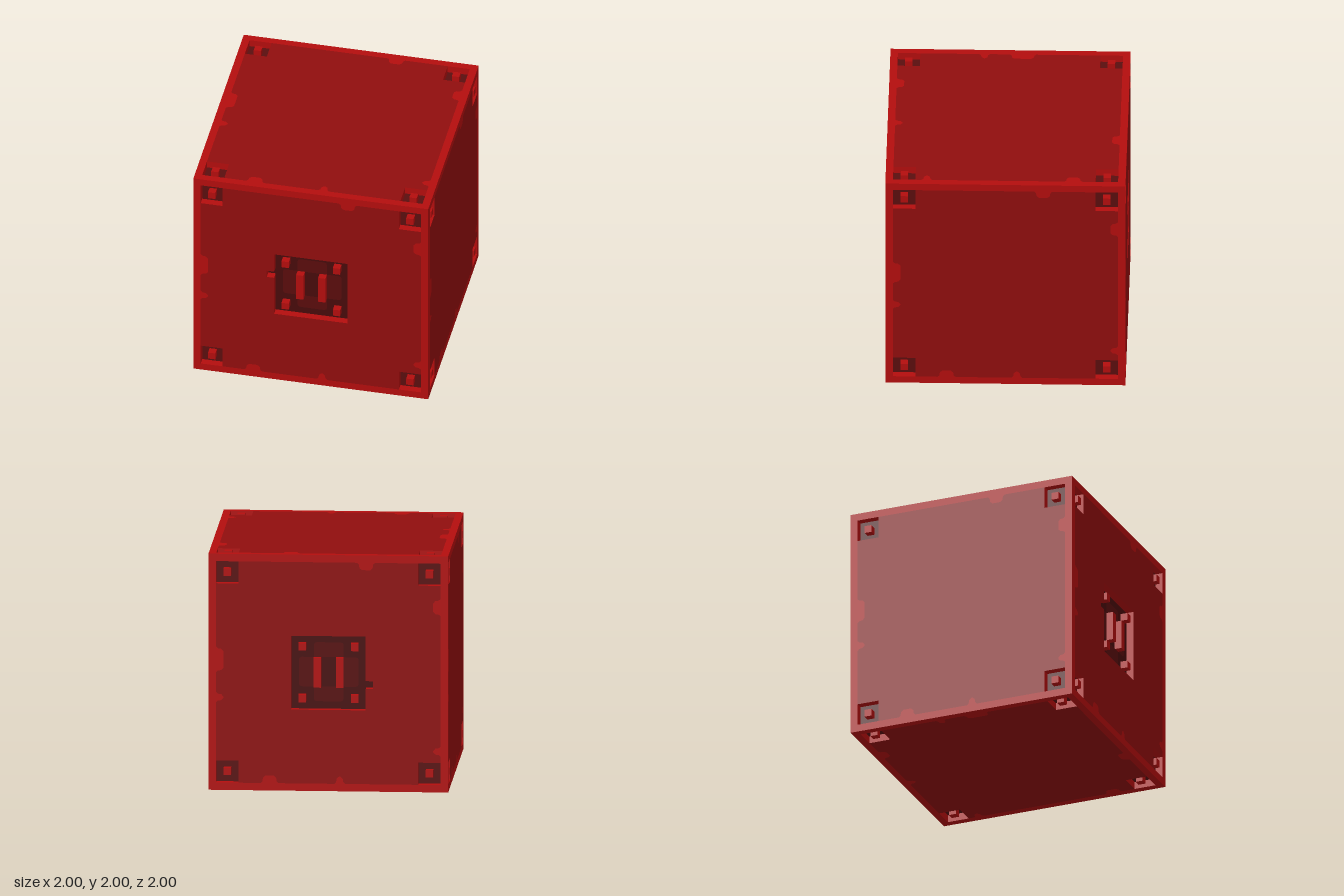
import * as THREE from 'three';

const U = 0.0625;      // basic cell: border width, bolt size, recess depth
const E = 1 - U;       // inner edge of the border
const C = 0.75;        // inner edge of the corner pockets
const P = 0.3125;      // half size of the centre panel

const mat = (name, color, side = THREE.FrontSide) =>
  Object.assign(new THREE.MeshStandardMaterial({ color, side }), { name });

// worn chips on each side of the border (bottom, right, top, left): [centre, half width]
const chips = [
  [[-0.49, 0.075], [0.095, 0.045]],
  [[-0.655, 0.045], [0.565, 0.075]],
  [[-0.315, 0.075]],
  [[-0.105, 0.11], [0.215, 0.045]],
];
const chipProfile = [[0, 0], [0.015, 0.015], [0.02, 0.045], [0.04, U]];

const turn = ([x, y], k) => {
  for (let i = 0; i < k; i++) [x, y] = [-y, x];
  return new THREE.Vector2(x, y);
};

// inner edge of the border, optionally stepping around the corner pockets
function outline(stepped) {
  const pts = [];
  chips.forEach((side, k) => {
    const run = stepped ? [[-C, -C], [-C, -E]] : [[-E, -E]];
    for (const [c, hw] of side) {
      for (const [s, h] of chipProfile) run.push([c - hw + s, -E + h]);
      for (const [s, h] of [...chipProfile].reverse()) run.push([c + hw - s, -E + h]);
    }
    if (stepped) run.push([C, -E]);
    run.forEach((p) => pts.push(turn(p, k)));
  });
  return pts;
}

// inward-facing walls around a counter-clockwise loop, from z = 0 down to -U
function wallGeometry(loop) {
  const pos = [];
  loop.forEach((a, i) => {
    const b = loop[(i + 1) % loop.length];
    pos.push(a.x, a.y, 0, b.x, b.y, 0, b.x, b.y, -U);
    pos.push(a.x, a.y, 0, b.x, b.y, -U, a.x, a.y, -U);
  });
  const g = new THREE.BufferGeometry();
  g.setAttribute('position', new THREE.Float32BufferAttribute(pos, 3));
  g.computeVertexNormals();
  return g;
}

export function createModel() {
  const red = mat('brightRed', 0xb30d0d);
  const plateRed = mat('plateRed', 0x900d0d);
  const pocketRed = mat('pocketRed', 0x5a0e0e);
  const panelRed = mat('panelRed', 0x480b0b);
  const padRed = mat('padRed', 0x590c0c);

  const add = (parent, name, geometry, material, x = 0, y = 0, z = 0) => {
    const m = new THREE.Mesh(geometry, material);
    m.name = name;
    m.position.set(x, y, z);
    parent.add(m);
    return m;
  };
  const flat = (pts, holes = []) => {
    const s = new THREE.Shape(pts);
    holes.forEach((h) => s.holes.push(new THREE.Path(h)));
    return new THREE.ShapeGeometry(s);
  };
  const recess = (parent, name, loop, floor) => {
    add(parent, name + 'Floor', flat(loop), floor, 0, 0, -U);
    add(parent, name + 'Walls', wallGeometry(loop), red);
  };

  const square = [0, 1, 2, 3].map((k) => turn([-1, -1], k));
  const pocket = [[C, C], [E, C], [E, E], [C, E]];
  const bolt = new THREE.BoxGeometry(U, U, U);
  const bar = new THREE.BoxGeometry(U, 0.25, U);

  // centre panel opening with a small latch notch on its left edge
  const opening = [[-P, -P], [P, -P], [P, P], [-P, P],
    [-P, 0.13], [-P - U, 0.13], [-P - U, 0.065], [-P, 0.065]];
  const pad = [[-0.125, 0.125], [0.125, 0.125], [0.125, 0.225], [0.118, 0.243],
    [0.1, 0.25], [-0.1, 0.25], [-0.118, 0.243], [-0.125, 0.225]];

  // one face of the crate, facing +z; panelTurn is in quarter turns
  function makeFace(name, panelTurn) {
    const face = new THREE.Group();
    face.name = name;
    const hasPanel = panelTurn !== undefined;
    const loop = hasPanel ? opening.map((p) => turn(p, panelTurn)) : null;

    add(face, 'border', flat(square, [outline(false)]), red);
    add(face, 'plate', flat(outline(true), hasPanel ? [loop] : []), plateRed);

    // corner pockets with bolts
    for (let k = 0; k < 4; k++) {
      recess(face, 'cornerPocket', pocket.map((p) => turn(p, k)), pocketRed);
      const b = turn([0.84375, 0.84375], k);
      add(face, 'cornerBolt', bolt, red, b.x, b.y, -U / 2);
    }

    // centre panel with pads, bolts and two grip bars
    if (hasPanel) {
      recess(face, 'panel', loop, panelRed);
      for (let k = 0; k < 4; k++) {
        add(face, 'panelPad', flat(pad.map((p) => turn(p, k))), padRed, 0, 0, -U + 0.004);
        const b = turn([0.21875, 0.21875], k);
        add(face, 'panelBolt', bolt, red, b.x, b.y, -U / 2);
      }
      for (const s of [-1, 1]) add(face, 'gripBar', bar, red, s * 1.5 * U, 0, -U / 2);
    }
    return face;
  }

  // six faces around the cube
  const model = new THREE.Group();
  model.name = 'crate';
  const q = Math.PI / 2;
  const faces = [
    ['frontFace', 0, 0, 0], ['backFace', 0, 2 * q, 2],
    ['leftFace', 0, q], ['rightFace', 0, -q],
    ['topFace', -q, 0], ['bottomFace', q, 0],
  ];
  for (const [name, rx, ry, panelTurn] of faces) {
    const face = makeFace(name, panelTurn);
    face.rotation.set(rx, ry, 0);
    face.position.set(0, 1, 0);
    face.translateZ(1);
    model.add(face);
  }
  return model;
}
